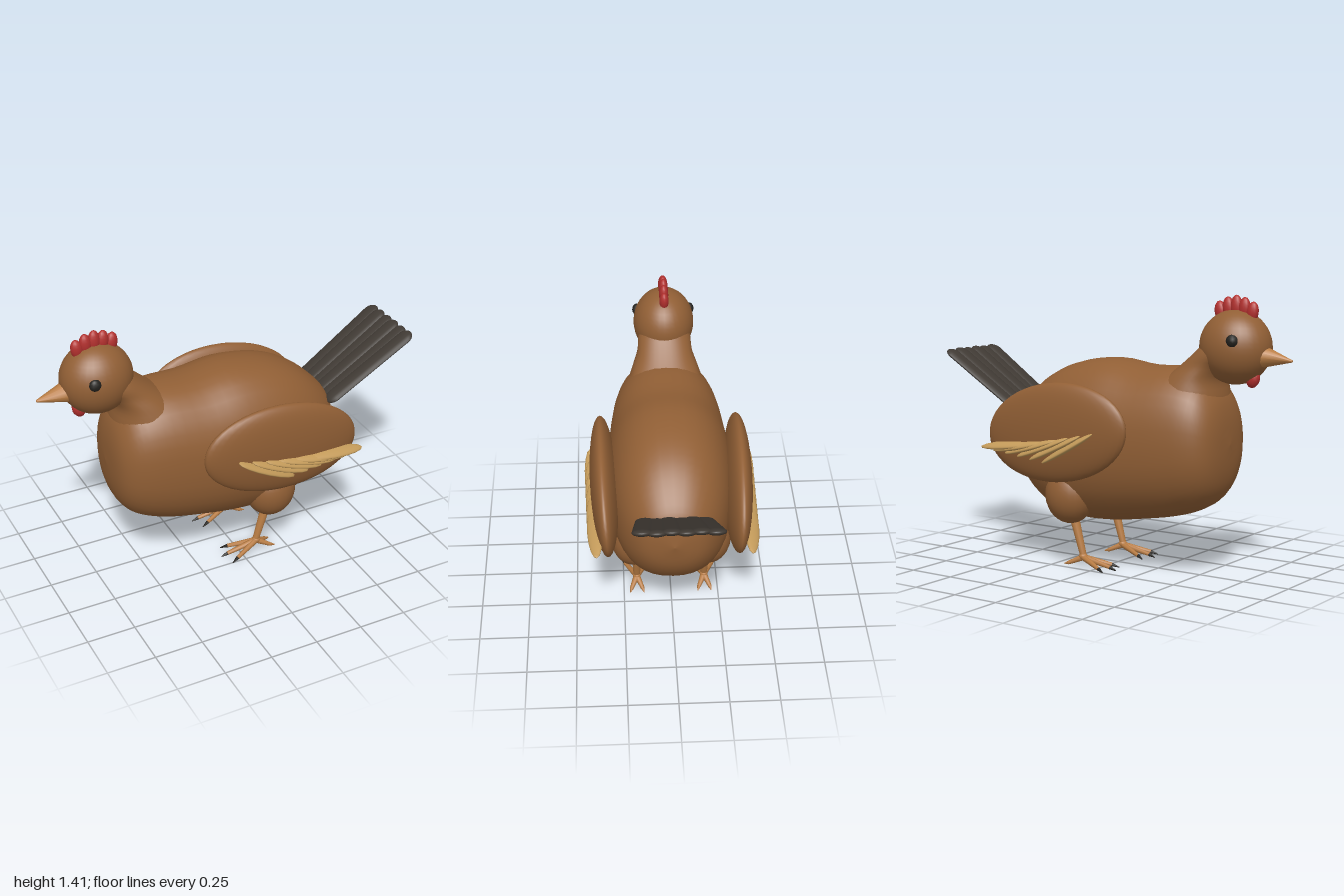
import * as THREE from 'three';

const mat = (name, color) => {
  const m = new THREE.MeshStandardMaterial({ color });
  m.name = name;
  return m;
};

// Closed skin through sections [station, low, high, halfWidth]; upright swaps x and y
function loft(sections, upright, steps = 40, sides = 36) {
  const a = new THREE.CatmullRomCurve3(sections.map(s => new THREE.Vector3(s[0], s[1], s[2])));
  const b = new THREE.CatmullRomCurve3(sections.map(s => new THREE.Vector3(s[0], s[3], 0)));
  const pos = [], index = [];
  const soft = v => Math.sign(v) * Math.abs(v) ** 0.88;
  for (let i = 0; i <= steps; i++) {
    const p = a.getPoint(i / steps), w = Math.max(0, b.getPoint(i / steps).y);
    for (let j = 0; j < sides; j++) {
      const t = (j / sides) * Math.PI * 2;
      const across = (p.y + p.z) / 2 + ((p.z - p.y) / 2) * soft(Math.cos(t));
      const z = w * soft(Math.sin(t));
      if (upright) pos.push(across, p.x, z);
      else pos.push(p.x, across, z);
      if (i === steps) continue;
      const k = (j + 1) % sides;
      const q = [i * sides + j, (i + 1) * sides + j, (i + 1) * sides + k, i * sides + k];
      if (upright) index.push(q[0], q[1], q[2], q[0], q[2], q[3]);
      else index.push(q[0], q[2], q[1], q[0], q[3], q[2]);
    }
  }
  const g = new THREE.BufferGeometry();
  g.setAttribute('position', new THREE.Float32BufferAttribute(pos, 3));
  g.setIndex(index);
  g.computeVertexNormals();
  return g;
}

export function createModel() {
  const hen = new THREE.Group();
  hen.name = 'hen';
  const brown = mat('brown plumage', 0x915f35);
  const dark = mat('dark tail', 0x403a34);
  const black = mat('black', 0x25231f);
  const red = mat('red comb', 0xb3302e);
  const tan = mat('tan quill', 0xc49b5a);
  const horn = mat('beak and legs', 0xb97d44);

  const add = (parent, name, geo, material) => {
    const m = new THREE.Mesh(geo, material);
    m.name = name;
    parent.add(m);
    return m;
  };
  const blob = (parent, name, material, p, r, rot = [0, 0, 0], seg = 24) => {
    const m = add(parent, name, new THREE.SphereGeometry(1, seg, Math.round(seg * 0.7)), material);
    m.position.set(...p);
    m.scale.set(...r);
    m.rotation.set(...rot, 'ZYX');
    return m;
  };
  // Tapered rod between two points
  const rod = (parent, name, material, from, to, r0, r1, sides = 10) => {
    const a = new THREE.Vector3(...from), b = new THREE.Vector3(...to);
    const d = b.clone().sub(a);
    const m = add(parent, name, new THREE.CylinderGeometry(r1, r0, d.length(), sides), material);
    m.position.copy(a).add(b).multiplyScalar(0.5);
    m.quaternion.setFromUnitVectors(new THREE.Vector3(0, 1, 0), d.normalize());
    return m;
  };

  // Body and neck
  add(hen, 'body', loft([
    [-0.668, 0.68, 0.68, 0], [-0.655, 0.53, 0.83, 0.13], [-0.62, 0.43, 0.93, 0.2],
    [-0.55, 0.36, 1.01, 0.25], [-0.42, 0.305, 1.05, 0.285], [-0.2, 0.262, 1.05, 0.31],
    [0, 0.235, 1.075, 0.32], [0.2, 0.235, 1.05, 0.31], [0.35, 0.28, 0.99, 0.28],
    [0.48, 0.38, 0.89, 0.22], [0.56, 0.5, 0.79, 0.14], [0.59, 0.65, 0.65, 0],
  ]), brown);
  add(hen, 'neck', loft([
    [0.75, -0.63, -0.1, 0.22], [0.9, -0.63, -0.2, 0.21], [1, -0.62, -0.33, 0.175],
    [1.07, -0.66, -0.42, 0.145], [1.14, -0.74, -0.5, 0.135], [1.2, -0.72, -0.56, 0.1],
  ], true, 20), brown);

  // Head, beak, wattle
  blob(hen, 'head', brown, [-0.692, 1.16, 0], [0.184, 0.182, 0.16], [0, 0, 0], 32);
  const beak = rod(hen, 'beak', horn, [-0.85, 1.12, 0], [-1, 1.106, 0], 0.058, 0.006, 12);
  beak.scale.x = 0.9;
  blob(hen, 'wattle', red, [-0.79, 1.01, 0], [0.034, 0.045, 0.03], [0, 0, 0.3], 12);

  // Comb
  for (let i = 0; i < 5; i++) {
    const edge = Math.abs(i - 2) / 2;
    blob(hen, 'combLobe', red, [-0.782 + i * 0.044, 1.352 - 0.022 * edge ** 2, 0],
      [0.031, 0.06 - 0.008 * edge, 0.025], [0, 0, (2 - i) * 0.08], 14);
  }

  // Tail feathers fanned side by side
  const tail = new THREE.Group();
  tail.name = 'tail';
  tail.position.set(0.76, 0.925, 0);
  tail.rotation.z = 0.575;
  hen.add(tail);
  const vane = new THREE.CapsuleGeometry(0.048, 0.47, 8, 14).rotateZ(Math.PI / 2).scale(1, 0.36, 1);
  for (let i = 0; i < 6; i++) {
    const f = add(tail, 'tailFeather', vane, dark);
    f.position.set(0, (i % 2) * 0.004, (i - 2.5) * 0.062);
    f.rotation.y = -(i - 2.5) * 0.02;
  }

  for (const s of [1, -1]) {
    const side = s > 0 ? 'left' : 'right';
    const eye = add(hen, side + 'Eye', new THREE.IcosahedronGeometry(0.031, 1), black);
    eye.position.set(-0.752, 1.2, s * 0.142);
    eye.scale.z = 0.75;

    // Wing with a row of quill feathers
    const wing = new THREE.Group();
    wing.name = side + 'Wing';
    hen.add(wing);
    blob(wing, 'wingShell', brown, [0.148, 0.712, s * 0.338], [0.436, 0.253, 0.07],
      [s * 0.05, s * 0.02, -0.14], 36);
    for (let i = 0; i < 6; i++) {
      const a = [-0.13 + 0.075 * i, 0.735 - 0.016 * i];
      const b = [0.2 + 0.08 * i, 0.56 + 0.01 * i];
      const dx = b[0] - a[0], dy = b[1] - a[1];
      blob(wing, 'quillFeather', tan, [(a[0] + b[0]) / 2, (a[1] + b[1]) / 2, s * (0.399 - 0.002 * i)],
        [Math.hypot(dx, dy) / 2, 0.016, 0.04], [s * 0.35, s * 0.05, Math.atan2(dy, dx)], 16);
    }

    // Thigh, shank and foot
    const leg = new THREE.Group();
    leg.name = side + 'Leg';
    hen.add(leg);
    const z = s * 0.18;
    blob(leg, 'thigh', brown, [0.165, 0.375, s * 0.195], [0.135, 0.15, 0.118]);
    rod(leg, 'shank', horn, [0.155, 0.27, z], [0.095, 0.065, z], 0.026, 0.018);
    blob(leg, 'ankle', horn, [0.095, 0.055, z], [0.024, 0.02, 0.022], [0, 0, 0], 12);
    for (const [x, dz] of [[-0.075, 0], [-0.045, 0.06], [-0.045, -0.06], [0.165, 0.03], [0.165, -0.03]]) {
      const tip = [x, 0.018, z + dz];
      rod(leg, 'toe', horn, [0.095, 0.05, z], tip, 0.017, 0.01, 8);
      if (x < 0) rod(leg, 'claw', black, tip, [x - 0.036, 0.006, z + dz * 1.25], 0.01, 0.002, 6);
      else rod(leg, 'spurTip', horn, tip, [x + 0.025, 0.012, z + dz * 1.2], 0.01, 0.002, 6);
    }
  }
  return hen;
}
